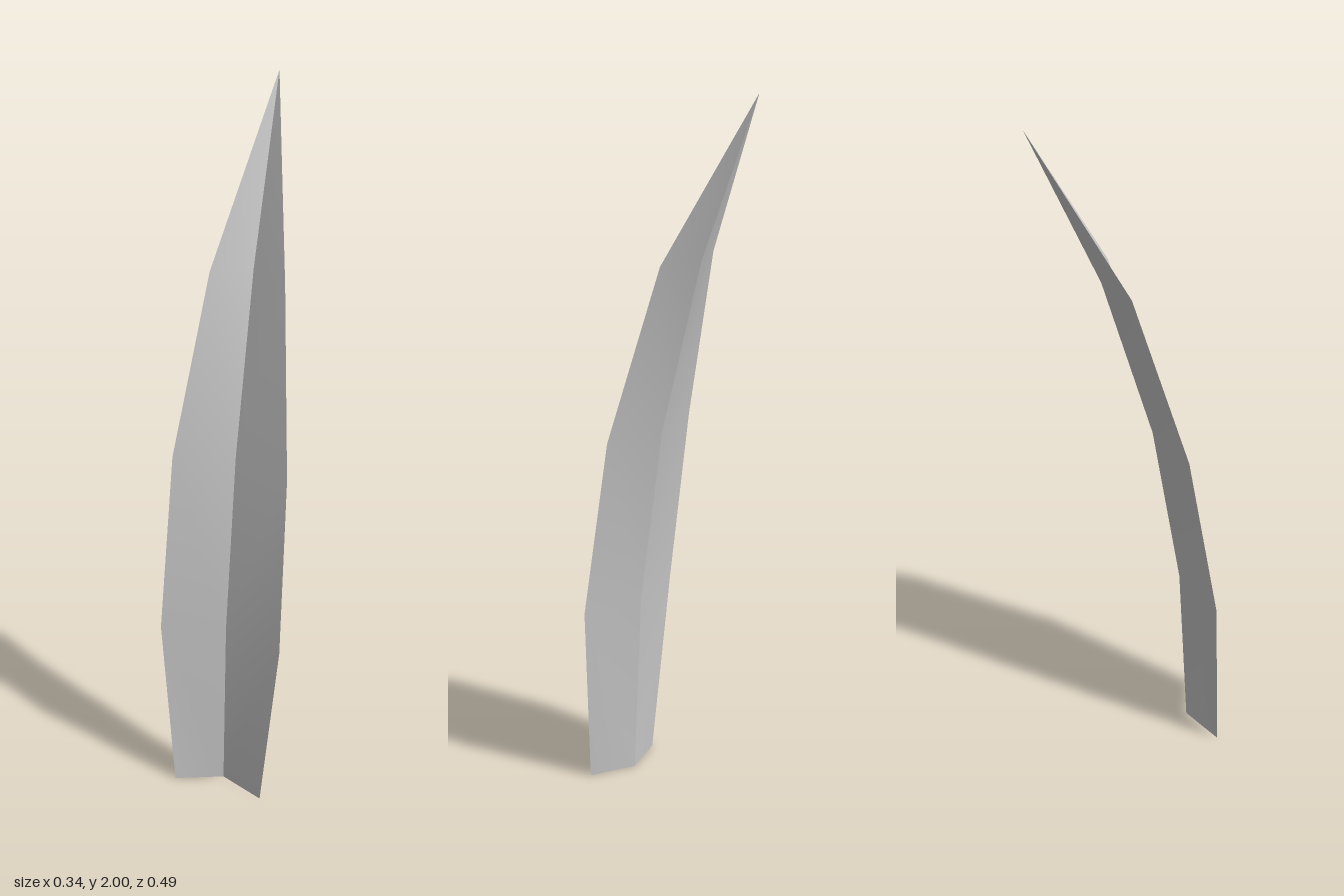
import * as THREE from 'three';

// Cross-sections from base to tip: [y, half width, z of outer edge, z of midrib]
const SECTIONS = [
  [0, 0.125, 0.247, 0.196],
  [0.517, 0.169, 0.218, 0.168],
  [1.03, 0.158, 0.135, 0.086],
  [1.53, 0.101, -0.005, -0.054],
];
const TIP = [0, 2, -0.247];

// One half of the folded blade; side is +1 (left) or -1 (right)
function bladeHalf(side) {
  const points = [];
  const faces = [];
  const face = (a, b, c) => faces.push(...(side > 0 ? [a, b, c] : [a, c, b]));

  SECTIONS.forEach(([y, halfWidth, edgeZ, ribZ], i) => {
    points.push(0, y, ribZ, side * halfWidth, y, edgeZ);
    const k = 2 * i;
    if (i < SECTIONS.length - 1) {
      face(k, k + 1, k + 3);
      face(k, k + 3, k + 2);
    } else {
      face(k, k + 1, k + 2);
    }
  });
  points.push(...TIP);

  const geometry = new THREE.BufferGeometry();
  geometry.setAttribute('position', new THREE.Float32BufferAttribute(points, 3));
  geometry.setIndex(faces);
  geometry.computeVertexNormals(); // smooth along the length, sharp at the rib
  return geometry;
}

export function createModel() {
  const model = new THREE.Group();
  model.name = 'grassBlade';
  const material = new THREE.MeshStandardMaterial({ color: 0xcccccc, side: THREE.DoubleSide });

  for (const [name, side] of [['leftHalf', 1], ['rightHalf', -1]]) {
    const half = new THREE.Mesh(bladeHalf(side), material);
    half.name = name;
    model.add(half);
  }
  return model;
}
